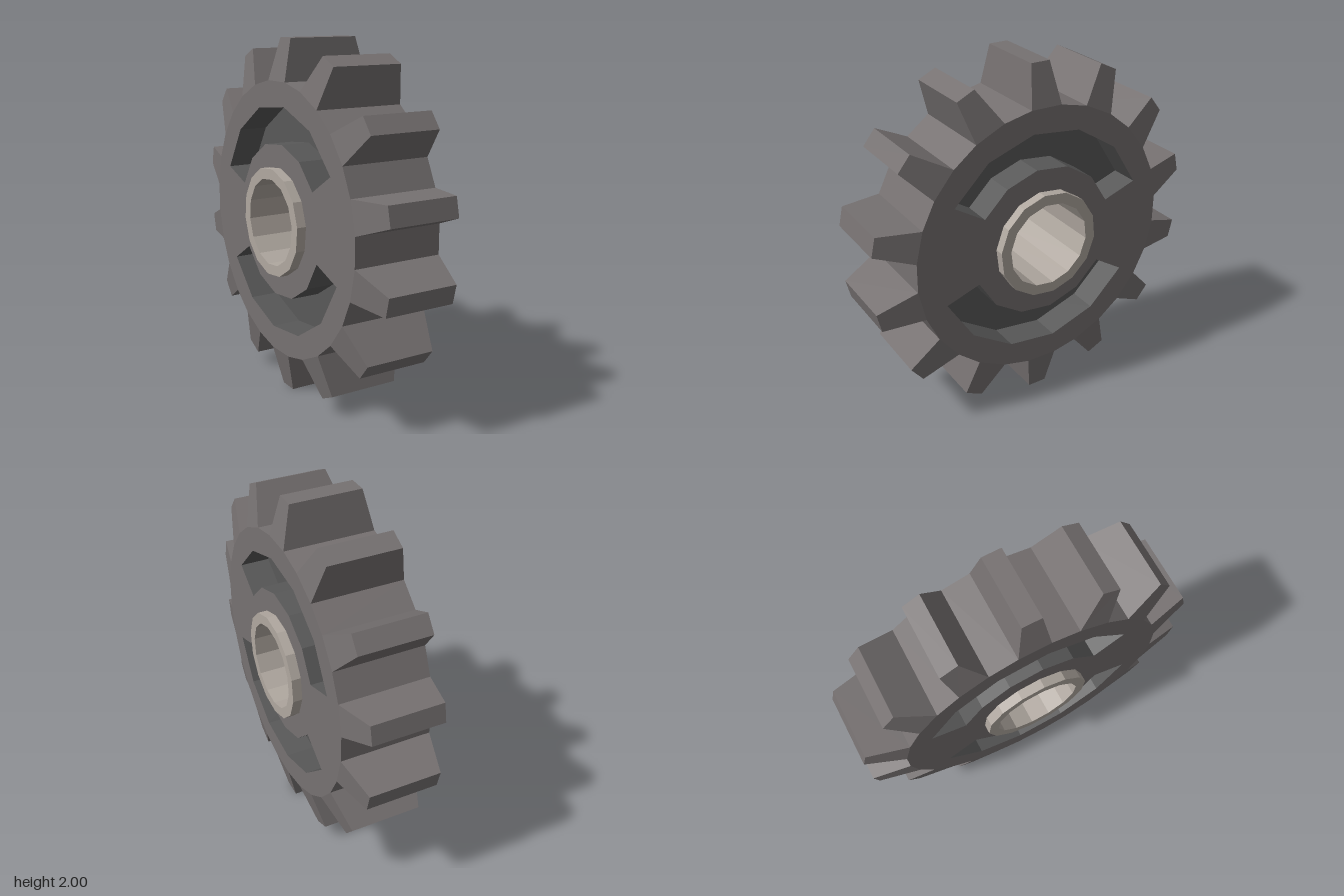
import * as THREE from 'three';

const TEETH = 14, STEP = (Math.PI * 2) / TEETH;
const HALF_WIDTH = 0.257, ROOT = 0.775;
const ROOT_A = 0.109, ROOT_B = -0.127;   // tooth root angles, slightly skewed
const TURN = 0.111;                      // turn of the hub and pocket facets
const FLOOR = 0.09;                      // half thickness of the web between pockets

// Point at an angle measured from the top towards +z, for shapes turned onto the x axis
const polar = (r, a) => new THREE.Vector2(-r * Math.sin(a), r * Math.cos(a));

const ring = (r) => Array.from({ length: TEETH }, (_, i) => polar(r, TURN + i * STEP));

// Extrudes along x, centred on x = 0
function extrudeX(points, halfWidth, holes = []) {
  const shape = new THREE.Shape(points);
  shape.holes = holes.map((h) => new THREE.Path(h));
  const geo = new THREE.ExtrudeGeometry(shape, { depth: halfWidth * 2, bevelEnabled: false });
  geo.translate(0, 0, -halfWidth);
  geo.rotateY(Math.PI / 2);
  return geo;
}

// Curved pocket outline: five facets along an outer and an inner arc
function pocketOutline(turn) {
  const pts = [];
  for (let i = -3; i <= 2; i++) pts.push(polar(0.643, TURN + turn + i * STEP));
  for (let i = 2; i >= -3; i--) pts.push(polar(0.436, TURN + turn + i * STEP));
  return pts;
}

// Tooth: a box whose root follows the body and whose tip is narrower both ways
function toothGeometry() {
  const geo = new THREE.BoxGeometry(2, 2, 2);
  const p = geo.attributes.position;
  for (let i = 0; i < p.count; i++) {
    const sx = p.getX(i), tip = p.getY(i) > 0, sz = p.getZ(i);
    const a = sz > 0 ? ROOT_A : ROOT_B;
    if (tip) p.setXYZ(i, sx * 0.203, 0.998, sz * 0.055);
    else p.setXYZ(i, sx * HALF_WIDTH, ROOT * Math.cos(a), ROOT * Math.sin(a));
  }
  geo.computeVertexNormals();
  return geo;
}

export function createModel() {
  const gear = new THREE.Group();
  gear.name = 'gear';
  const steel = new THREE.MeshStandardMaterial({ color: 0x767171, flatShading: true });
  const dark = new THREE.MeshStandardMaterial({ color: 0x595959, flatShading: true });
  const bushing = new THREE.MeshStandardMaterial({ color: 0xb0a8a0, flatShading: true });

  const add = (name, geo, mat) => {
    const mesh = new THREE.Mesh(geo, mat);
    mesh.name = name;
    gear.add(mesh);
    return mesh;
  };

  // Body disc with bore and two curved pockets; the pocket walls are darker
  const rim = [];
  for (let i = 0; i < TEETH; i++) {
    rim.push(polar(ROOT, i * STEP + ROOT_B), polar(ROOT, i * STEP + ROOT_A));
  }
  const pockets = [pocketOutline(0), pocketOutline(Math.PI)];
  const bodyGeo = extrudeX(rim, HALF_WIDTH, [ring(0.29), ...pockets]);
  const total = bodyGeo.attributes.position.count;
  const wallCount = (pockets[0].length + pockets[1].length) * 6;
  bodyGeo.clearGroups();
  bodyGeo.addGroup(0, total - wallCount, 0);
  bodyGeo.addGroup(total - wallCount, wallCount, 1);
  add('body', bodyGeo, [steel, dark]);

  // Web closing the pockets halfway through the body
  pockets.forEach((outline) => add('pocketFloor', extrudeX(outline, FLOOR), dark));

  // Bushing through the centre
  add('hub', extrudeX(ring(0.305), 0.31, [ring(0.245)]), bushing);

  // Teeth around the rim
  const tooth = toothGeometry();
  for (let i = 0; i < TEETH; i++) add('tooth', tooth, steel).rotation.x = i * STEP;

  gear.position.y = 1;
  const model = new THREE.Group();
  model.name = 'gearWheel';
  model.add(gear);
  return model;
}
